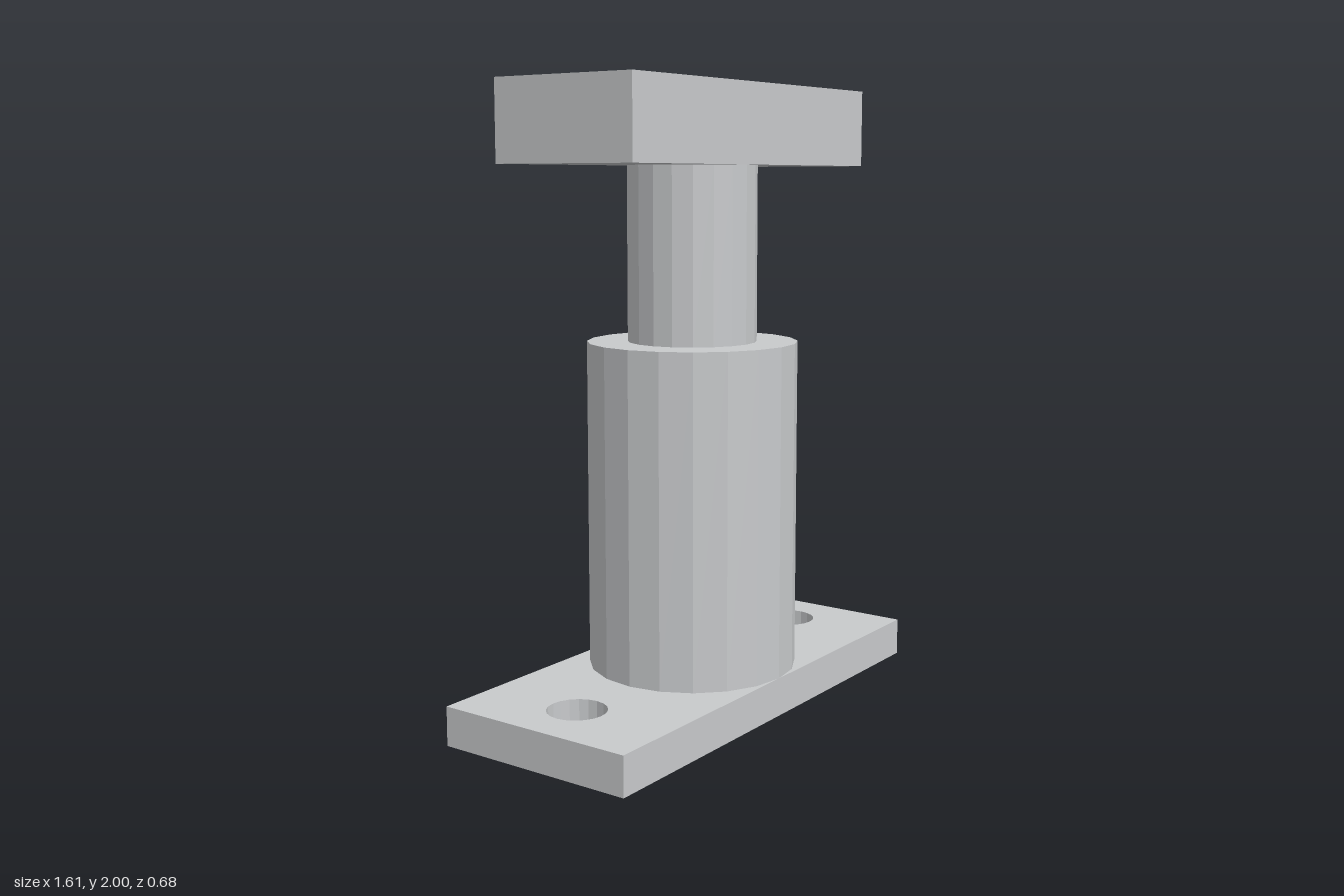
import * as THREE from 'three';

const SIDES = 20;

export function createModel() {
  const group = new THREE.Group();
  const steel = new THREE.MeshStandardMaterial({ color: 0xc8cacc, flatShading: true });
  steel.name = 'light grey steel';

  const add = (name, geometry, y) => {
    const mesh = new THREE.Mesh(geometry, steel);
    mesh.name = name;
    mesh.position.y = y;
    group.add(mesh);
  };
  // Upright faceted cylinder between two heights
  const column = (name, radius, bottom, top) =>
    add(name, new THREE.CylinderGeometry(radius, radius, top - bottom, SIDES), (bottom + top) / 2);

  // Base plate with two bolt holes
  const w = 0.805, d = 0.34, thickness = 0.125;
  const outline = new THREE.Shape([
    new THREE.Vector2(-w, -d), new THREE.Vector2(w, -d),
    new THREE.Vector2(w, d), new THREE.Vector2(-w, d),
  ]);
  for (const side of [-1, 1]) {
    const hole = new THREE.Path();
    hole.absarc(side * 0.597, 0, 0.094, 0, Math.PI * 2, true);
    outline.holes.push(hole);
  }
  const plate = new THREE.ExtrudeGeometry(outline, {
    depth: thickness, bevelEnabled: false, curveSegments: SIDES / 2,
  });
  plate.rotateX(-Math.PI / 2);
  add('basePlate', plate, 0);

  // Sleeve and the rod rising out of it
  column('sleeve', 0.34, thickness, 1.19);
  column('rod', 0.208, 1.19, 1.75);

  // Head block
  add('headBlock', new THREE.BoxGeometry(1.274, 0.25, 0.508), 1.875);

  return group;
}
